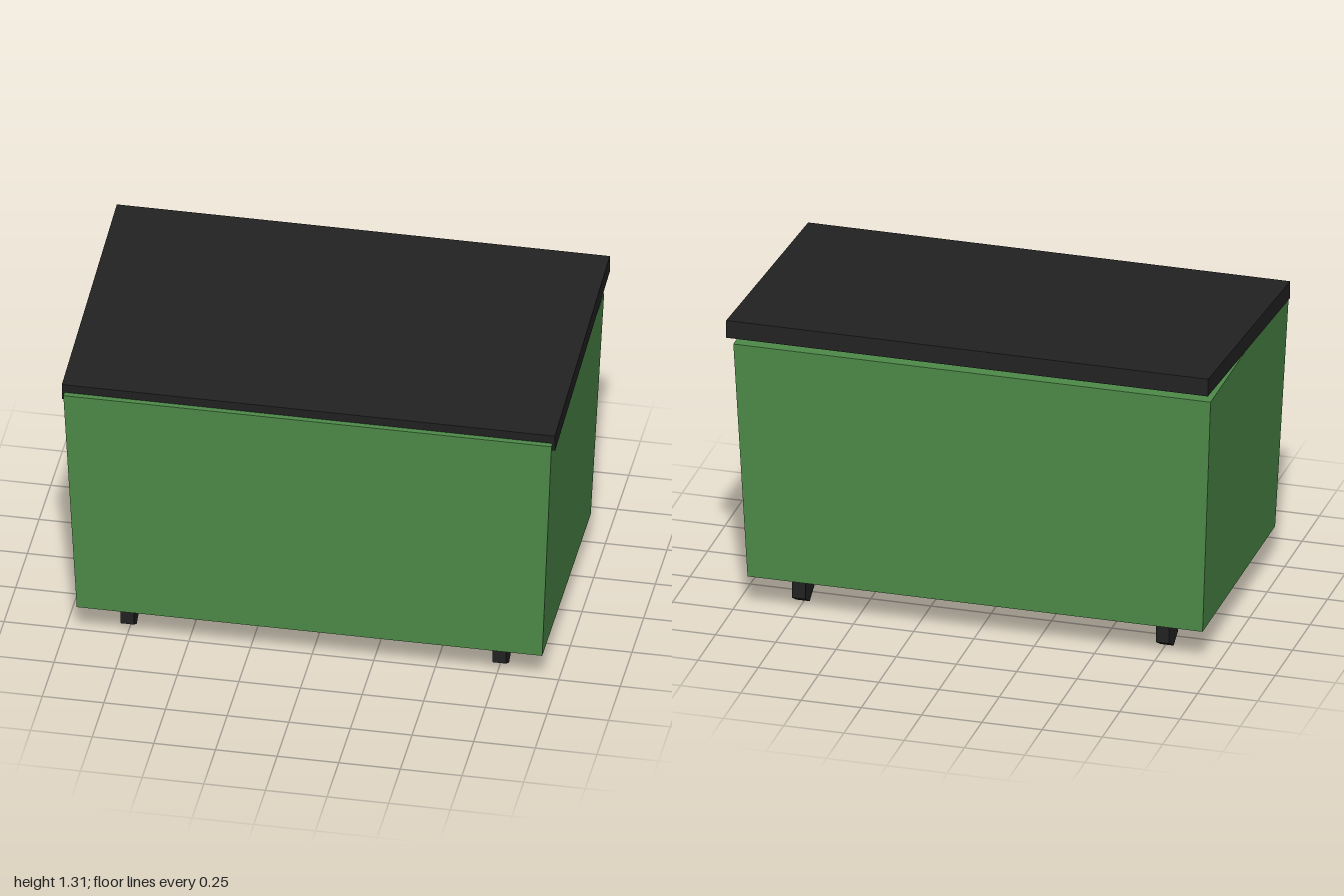
import * as THREE from 'three';

export function createModel() {
  const model = new THREE.Group();
  model.name = 'wheeledBin';
  const green = new THREE.MeshStandardMaterial({ color: 0x4e8b49 });
  green.name = 'bin green';
  const black = new THREE.MeshStandardMaterial({ color: 0x222222 });
  black.name = 'lid black';

  const add = (name, geometry, material, x, y, z) => {
    const mesh = new THREE.Mesh(geometry, material);
    mesh.name = name;
    mesh.position.set(x, y, z);
    model.add(mesh);
    return mesh;
  };

  // Bin body: a box narrowed towards the bottom
  const height = 1.035;
  const body = new THREE.BoxGeometry(1.98, height, 1.129);
  const p = body.attributes.position;
  for (let i = 0; i < p.count; i++) {
    if (p.getY(i) < 0) {
      p.setX(i, Math.sign(p.getX(i)) * 0.944);
      p.setZ(i, Math.sign(p.getZ(i)) * 0.52);
    }
  }
  const flatBody = body.toNonIndexed();
  flatBody.computeVertexNormals();
  add('binBody', flatBody, green, 0, 0.145 + height / 2, 0.037);

  // Lid: a slab tilted down towards the front
  const lid = add('lid', new THREE.BoxGeometry(2, 0.073, 1.18), black, 0, 1.229, -0.0105);
  lid.rotation.x = 0.08;

  // Four six-sided wheels, standing on a corner
  const wheel = new THREE.CylinderGeometry(0.0727, 0.0727, 0.055, 6)
    .rotateY(Math.PI / 6).rotateZ(Math.PI / 2).toNonIndexed();
  wheel.computeVertexNormals();
  for (const [side, x] of [['left', 0.755], ['right', -0.755]]) {
    for (const [end, z] of [['Front', 0.415], ['Back', -0.34]]) {
      add(`${side}${end}Wheel`, wheel, black, x, 0.0727, z);
    }
  }
  return model;
}
